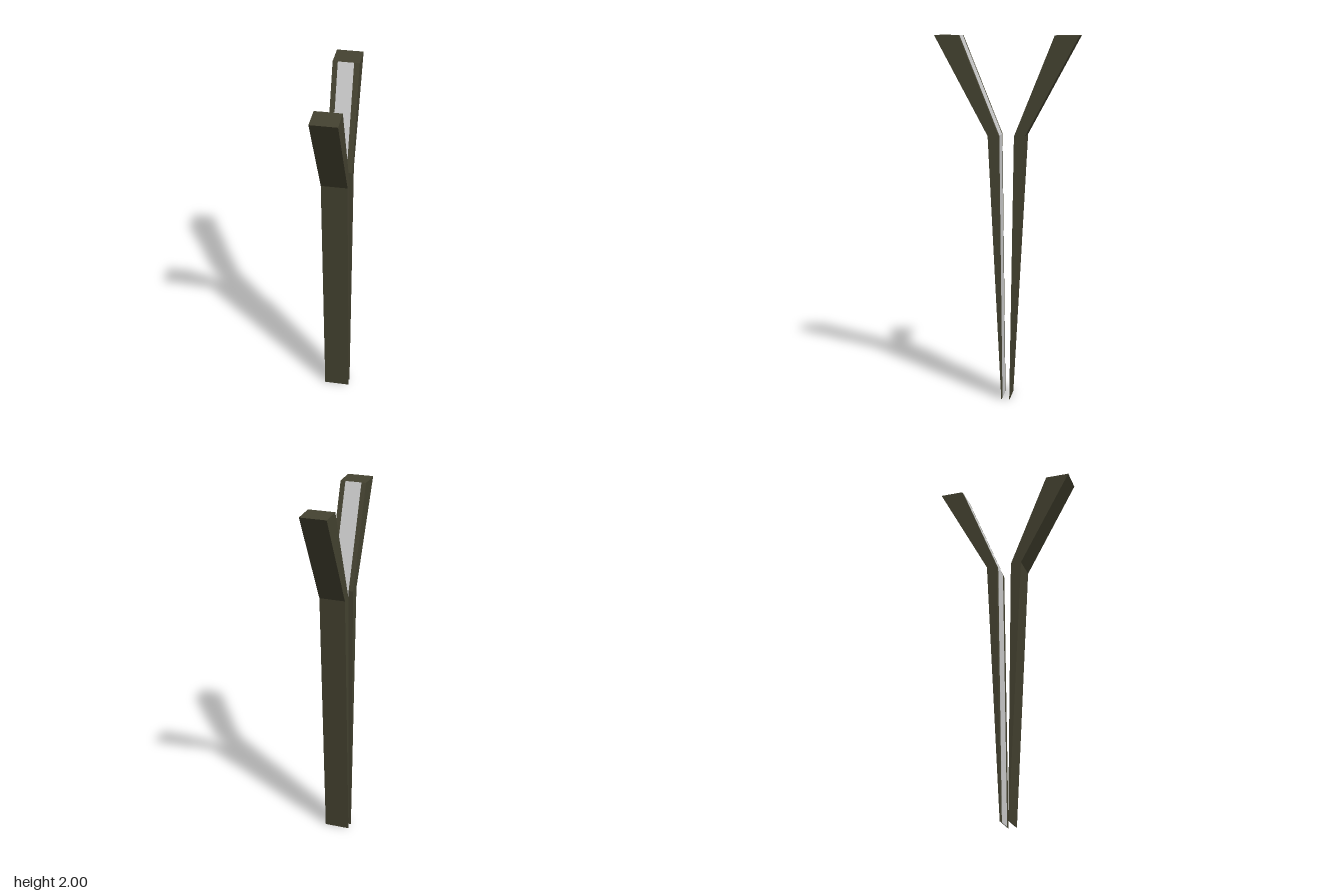
import * as THREE from 'three';

const darkMat = new THREE.MeshStandardMaterial({ color: 0x454331 });
const greyMat = new THREE.MeshStandardMaterial({ color: 0xcccccc });

// Extrude a (z, y) outline across x, from x0 to x1
function sideExtrude(name, outline, x0, x1, material) {
  const shape = new THREE.Shape(outline.map(([z, y]) => new THREE.Vector2(z, y)));
  const geo = new THREE.ExtrudeGeometry(shape, { depth: x1 - x0, bevelEnabled: false });
  geo.translate(0, 0, -x1).rotateY(-Math.PI / 2);
  const mesh = new THREE.Mesh(geo, material);
  mesh.name = name;
  return mesh;
}

// One prong: a tapering blade that bends outward, with a pale strip on its inner face
function prong(name, inner, outer, stripX, side) {
  const group = new THREE.Group();
  group.name = name;
  const lift = side * 0.0015;
  const raised = inner.map(([z, y]) => [z - lift, y]);
  group.add(
    sideExtrude('blade', [...inner, ...[...outer].reverse()], -0.07, 0.07, darkMat),
    sideExtrude('innerStrip', [...raised, ...[...inner].reverse()], stripX[0], stripX[1], greyMat)
  );
  return group;
}

export function createModel() {
  const model = new THREE.Group();
  model.name = 'splitFork';
  model.add(
    prong('frontProng',
      [[0.025, 0], [0.041, 1.47], [0.254, 2]],
      [[0.028, 0], [0.1, 1.47], [0.385, 2]], [-0.045, 0.043], 1),
    prong('backProng',
      [[-0.017, 0], [-0.042, 1.47], [-0.256, 2]],
      [[-0.02, 0], [-0.1, 1.47], [-0.386, 2]], [-0.043, 0.041], -1)
  );
  return model;
}
